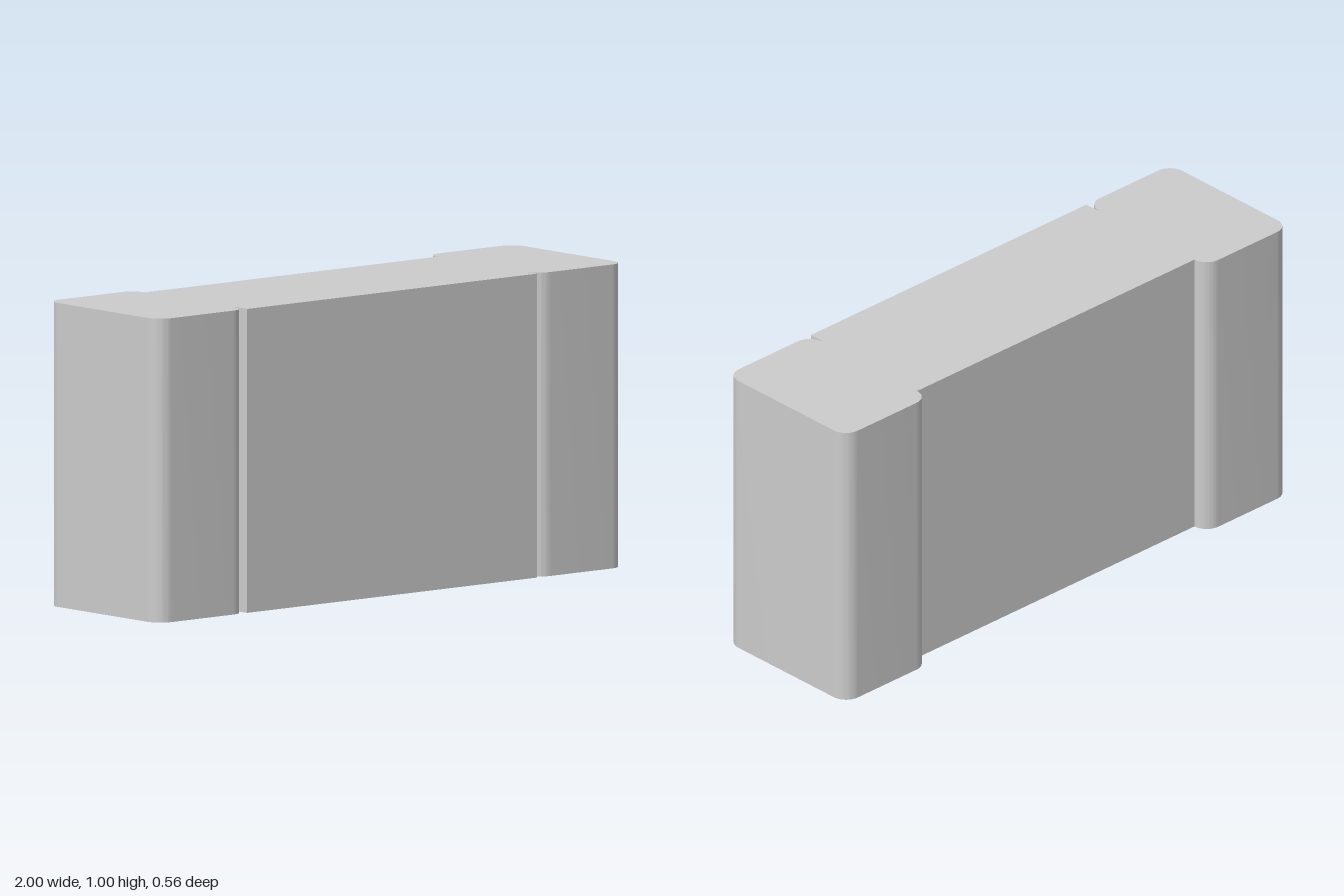
import * as THREE from 'three';
import { toCreasedNormals } from 'three/addons/utils/BufferGeometryUtils.js';

const HEIGHT = 1, DEPTH = 0.28, RADIUS = 0.055;
const OUTER = 1, INNER = 0.625; // x range of each end block
const BODY = 0.621;             // half width of the front panel
const BACK = DEPTH - RADIUS;    // recessed back face of the middle

// Plan outline, counter-clockwise; shape y is -z, so the front is at -DEPTH
function planOutline() {
  const s = new THREE.Shape();
  const r = RADIUS, q = Math.PI / 2;
  const corner = (x, y, quarter) => s.absarc(x, y, r, quarter * q, (quarter + 1) * q, false);

  // Front panel, flush with the end blocks, with a narrow groove at each side
  s.moveTo(-BODY, -DEPTH);
  s.lineTo(BODY, -DEPTH);
  s.lineTo(BODY, -BACK);
  // End block on the left (+x)
  corner(INNER + r, -BACK, 2);
  corner(OUTER - r, -BACK, 3);
  corner(OUTER - r, BACK, 0);
  corner(INNER + r, BACK, 1);
  // Recessed back, then the end block on the right (-x)
  corner(-INNER - r, BACK, 0);
  corner(-OUTER + r, BACK, 1);
  corner(-OUTER + r, -BACK, 2);
  corner(-INNER - r, -BACK, 3);
  s.lineTo(-BODY, -BACK);
  s.closePath();
  return s;
}

export function createModel() {
  const group = new THREE.Group();
  group.name = 'block';

  // Upright prism, smooth around the rounded corners
  const extruded = new THREE.ExtrudeGeometry(planOutline(), {
    depth: HEIGHT, bevelEnabled: false, curveSegments: 10,
  });
  extruded.rotateX(-Math.PI / 2);
  const body = new THREE.Mesh(
    toCreasedNormals(extruded, 0.5),
    new THREE.MeshStandardMaterial({ color: 0xcccccc }),
  );
  body.name = 'blockBody';
  group.add(body);
  return group;
}
